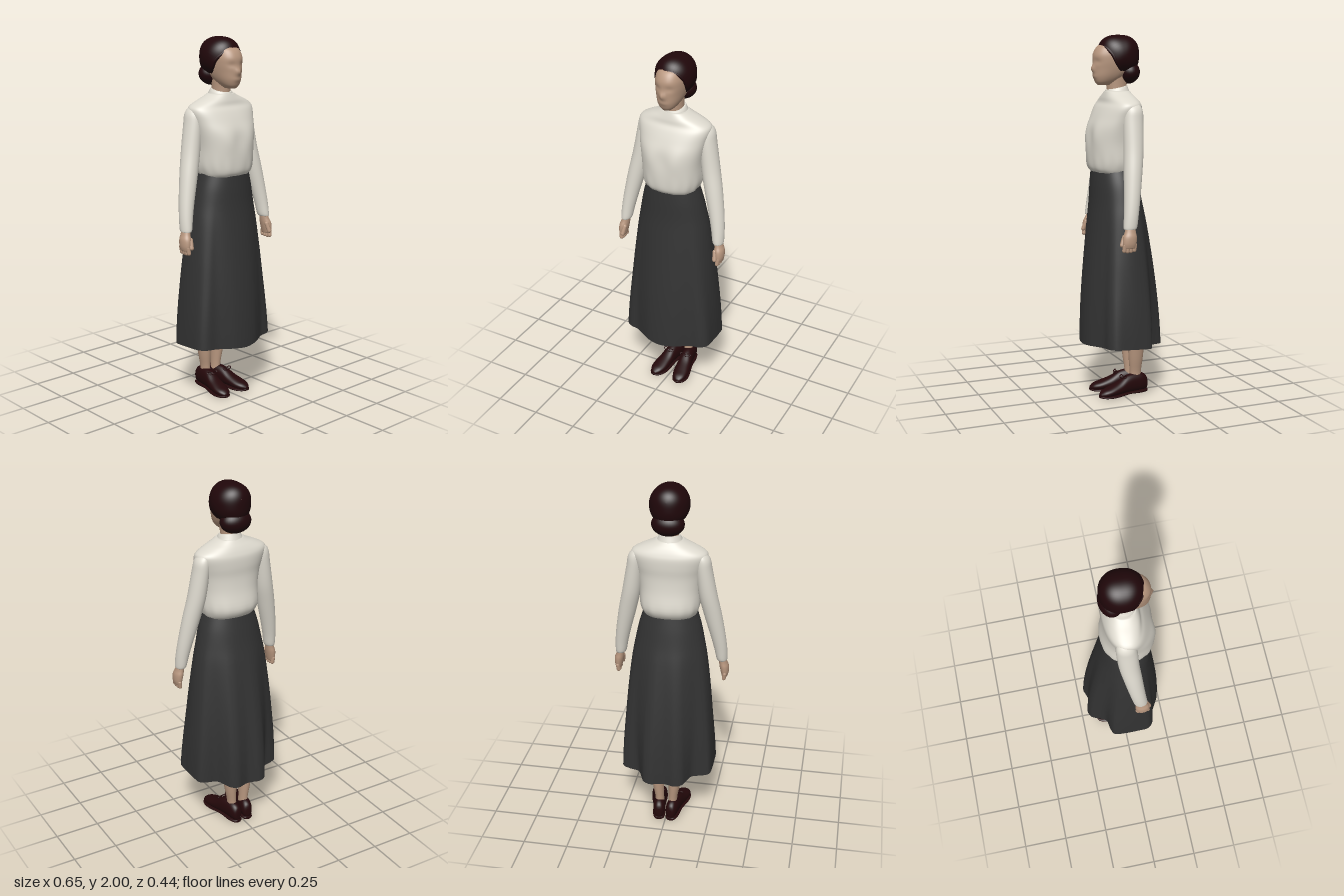
import * as THREE from 'three';

const mat = (name, color, side = THREE.FrontSide) => {
  const m = new THREE.MeshStandardMaterial({ color, side });
  m.name = name;
  return m;
};

// Smooth interpolation through a table of rows
function sampleRows(rows, steps) {
  const out = [], n = rows.length, at = i => rows[Math.max(0, Math.min(n - 1, i))];
  for (let s = 0; s <= (n - 1) * steps; s++) {
    const i = Math.min(Math.floor(s / steps), n - 2), t = s / steps - i;
    const [a, b, c, d] = [at(i - 1), at(i), at(i + 1), at(i + 2)];
    out.push(b.map((_, k) => 0.5 * (2 * b[k] + (c[k] - a[k]) * t
      + (2 * a[k] - 5 * b[k] + 4 * c[k] - d[k]) * t * t
      + (3 * b[k] - a[k] - 3 * c[k] + d[k]) * t * t * t)));
  }
  return out;
}

// Surface through closed rings listed bottom to top
function skin(rings, capped = true) {
  const n = rings[0].length, pos = [], idx = [];
  rings.forEach(r => r.forEach(p => pos.push(p.x, p.y, p.z)));
  for (let i = 0; i < rings.length - 1; i++) for (let j = 0; j < n; j++) {
    const a = i * n + j, b = i * n + (j + 1) % n;
    idx.push(a, b, a + n, b, b + n, a + n);
  }
  if (capped) [0, rings.length - 1].forEach(i => {
    const c = rings[i].reduce((s, p) => s.add(p), new THREE.Vector3()).divideScalar(n);
    const k = pos.length / 3;
    pos.push(c.x, c.y, c.z);
    for (let j = 0; j < n; j++) {
      const a = i * n + j, b = i * n + (j + 1) % n;
      if (i) idx.push(a, b, k); else idx.push(b, a, k);
    }
  });
  const g = new THREE.BufferGeometry();
  g.setAttribute('position', new THREE.Float32BufferAttribute(pos, 3));
  g.setIndex(idx);
  g.computeVertexNormals();
  return g;
}

// Rows are [y, centre x, half width, front z, back z]; power squares the section
function loft(rows, { sides = 32, steps = 4, power = 2, tweak } = {}) {
  const bend = v => Math.sign(v) * Math.pow(Math.abs(v), 2 / power);
  return skin(sampleRows(rows, steps).map(([y, cx, rx, zf, zb]) =>
    Array.from({ length: sides }, (_, j) => {
      const a = j / sides * Math.PI * 2;
      const p = new THREE.Vector3(cx + rx * bend(Math.sin(a)), y,
        (zf + zb) / 2 + (zf - zb) / 2 * bend(Math.cos(a)));
      if (tweak) tweak(p, a);
      return p;
    })));
}

export function createModel() {
  const model = new THREE.Group();
  const skinMat = mat('skin', 0xb8977f);
  const blouseMat = mat('cream cloth', 0xdedacf, THREE.DoubleSide);
  const skirtMat = mat('charcoal cloth', 0x333333, THREE.DoubleSide);
  const hairMat = mat('dark auburn hair', 0x20070a, THREE.DoubleSide);
  const shoeMat = mat('dark leather', 0x24080a);
  const add = (name, geo, m, parent = model) => {
    const mesh = new THREE.Mesh(geo, m);
    mesh.name = name;
    parent.add(mesh);
    return mesh;
  };
  const bump = (v, c, w) => Math.exp(-(((v - c) / w) ** 2));

  // Head with a soft nose, brow and eye hollows
  add('head', loft([
    [1.732, 0, .024, .12, .05], [1.75, 0, .044, .134, .02], [1.78, 0, .061, .143, -.03],
    [1.82, 0, .073, .145, -.08], [1.86, 0, .079, .147, -.09], [1.9, 0, .079, .143, -.09],
    [1.94, 0, .068, .118, -.08], [1.965, 0, .04, .07, -.045],
  ], {
    sides: 48, steps: 6, power: 2.3, tweak: p => {
      if (p.z < .06) return;
      p.z += .016 * bump(p.y, 1.82, .02) * bump(p.x, 0, .016);
      p.z += .004 * bump(p.y, 1.78, .012) * bump(p.x, 0, .025);
      p.z -= .006 * bump(p.y, 1.858, .016) * bump(Math.abs(p.x), .034, .02);
    },
  }), skinMat);
  add('neck', loft([[1.66, 0, .05, .066, -.05], [1.72, 0, .047, .068, -.045], [1.8, 0, .05, .075, -.05]]), skinMat);

  // Hair cap swept from the crown to a side-parted hairline, with a rolled edge
  const hairPoint = (a, f) => {
    const theta = f * (2.08 + .2 * Math.cos(a) - .08 * Math.sin(a) * Math.max(0, Math.cos(a)));
    const v = new THREE.Vector3(Math.sin(theta) * Math.sin(a), Math.cos(theta), Math.sin(theta) * Math.cos(a))
      .applyAxisAngle(new THREE.Vector3(1, 0, 0), -1.2);
    // Fuller over the forehead and nape than a plain ball
    const full = Math.hypot(v.y, v.z) / Math.pow(Math.abs(v.y) ** 2.6 + Math.abs(v.z) ** 2.6, 1 / 2.6);
    return new THREE.Vector3(v.x * .107, 1.892 + v.y * full * .108, .002 + v.z * full * .114);
  };
  const hairRing = (n, f) => Array.from({ length: n }, (_, i) => hairPoint(i / n * Math.PI * 2, f));
  const hairRings = Array.from({ length: 29 }, (_, k) => hairRing(48, 1 - k / 29));
  add('hair', skin([...hairRings, hairRing(48, .004)], false), hairMat);
  const centre = new THREE.Vector3(0, 1.885, .03);
  const rim = hairRing(24, 1).map(p => p.lerp(centre, .09));
  add('hairline', new THREE.TubeGeometry(new THREE.CatmullRomCurve3(rim, true), 72, .011, 10, true), hairMat);
  const bun = new THREE.SphereGeometry(1, 36, 24);
  bun.scale(.088, .064, .064).translate(0, 1.801, -.052);
  add('bun', bun, hairMat);

  // Blouse, full at the chest and gathered into the waist
  add('blouse', loft([
    [1.262, 0, .14, .146, -.074], [1.285, 0, .152, .165, -.1], [1.33, 0, .163, .172, -.115],
    [1.42, 0, .167, .172, -.1], [1.5, 0, .18, .162, -.095], [1.56, 0, .194, .138, -.1],
    [1.61, 0, .206, .113, -.1], [1.638, 0, .197, .094, -.092], [1.663, 0, .15, .088, -.08],
    [1.682, 0, .105, .082, -.068], [1.7, 0, .07, .075, -.056],
  ], {
    sides: 72, power: 2.3, tweak: (p, a) => {
      const g = 1 + .01 * Math.cos(a * 14) * bump(p.y, 1.3, .05);
      p.x *= g;
      p.z *= g;
      if (p.z > 0) p.z += .006 * bump(p.y, 1.46, .06) * (bump(Math.abs(p.x), .075, .04) - bump(p.x, 0, .04));
    },
  }), blouseMat);
  // Stand collar, dipping toward the throat
  add('collar', loft([
    [1.675, 0, .082, .08, -.062], [1.695, 0, .07, .077, -.055],
    [1.712, 0, .062, .075, -.049], [1.722, 0, .055, .071, -.046],
  ], { tweak: p => { p.y -= .2 * p.z; } }), blouseMat);

  // Arms and hands
  [['left', 1], ['right', -1]].forEach(([side, s]) => {
    const arm = new THREE.Group();
    arm.name = side + 'Arm';
    model.add(arm);
    const tube = rows => loft(rows.map(([y, x, z, rx, rz]) => [y, x * s, rx, z + rz, z - rz]));
    add('sleeve', tube([
      [.985, .288, .053, .026, .034], [1.0, .285, .05, .031, .038], [1.06, .278, .042, .036, .04],
      [1.15, .262, .03, .042, .044], [1.28, .234, .014, .049, .05], [1.4, .208, 0, .05, .054],
      [1.54, .187, -.008, .045, .055], [1.6, .18, -.012, .041, .05], [1.63, .17, -.012, .03, .038],
      [1.64, .164, -.012, .014, .02],
    ]), blouseMat, arm);
    add('palm', tube([
      [.885, .302, .062, .017, .033], [.91, .302, .061, .023, .038], [.945, .298, .058, .026, .038],
      [.97, .292, .054, .023, .031], [1.0, .286, .05, .02, .026],
    ]), skinMat, arm);
    // Four relaxed fingers and a thumb
    for (let i = 0; i < 4; i++) {
      const f = add('finger', new THREE.CapsuleGeometry(.0115, .04 - Math.abs(i - 1.4) * .007, 4, 10), skinMat, arm);
      f.position.set(s * .302, .888, .09 - i * .019);
      f.rotation.set(-.12, 0, -s * .12);
    }
    const thumb = add('thumb', new THREE.CapsuleGeometry(.012, .045, 4, 10), skinMat, arm);
    thumb.position.set(s * .285, .922, .092);
    thumb.rotation.set(-.35, 0, s * .15);
  });

  // Skirt: an oval waist blending into a wavy hem
  const half = [[.07, .21], [.12, .185], [.17, .158], [.225, .15], [.258, .12], [.262, .05], [.26, -.03],
    [.25, -.09], [.21, -.108], [.155, -.12], [.13, -.165], [.11, -.205], [.07, -.221], [.03, -.208]];
  const hemPoints = [[0, .22], ...half, [0, -.2], ...half.slice().reverse().map(([x, z]) => [-x, z])]
    .map(([x, z]) => new THREE.Vector3(x + .005, .02 * Math.abs(x) / .26 + .06 * z, z));
  const hem = new THREE.CatmullRomCurve3(hemPoints, true).getPoints(120).slice(0, 120);
  // Rows are [y, half width, front z, back z, hem blend]
  const skirtRows = [[.295, .26, .215, -.21, 1], [.6, .237, .195, -.18, .5], [.8, .222, .178, -.155, .28],
    [1.0, .205, .163, -.13, .1], [1.1, .191, .157, -.115, .03], [1.2, .172, .155, -.1, 0], [1.28, .147, .151, -.084, 0]];
  add('skirt', skin(sampleRows(skirtRows, 6).map(([y, rx, zf, zb, w]) => hem.map(h => {
    const a = Math.atan2(h.x / .26, h.z / .21);
    const p = new THREE.Vector3(rx * Math.sin(a), y, (zf + zb) / 2 + (zf - zb) / 2 * Math.cos(a));
    return p.lerp(new THREE.Vector3(h.x, y + h.y, h.z), w);
  })), false), skirtMat);
  // Shallow lining closing the skirt just above the hem
  add('skirtLining', skin([.02, .3, .6, .85, .96, 1].map(k => hem.map(h =>
    new THREE.Vector3(h.x * k, .295 + h.y * k + .03 * (1 - k ** 4), h.z * k))), false), skirtMat);

  // Legs, undergarment cuffs and laced shoes
  [['left', 1], ['right', -1]].forEach(([side, s]) => {
    const leg = new THREE.Group();
    leg.name = side + 'Leg';
    leg.position.x = .004;
    model.add(leg);
    add('shin', loft([
      [.06, s * .038, .028, -.05, -.12], [.12, s * .039, .025, -.052, -.118], [.2, s * .046, .032, -.043, -.125],
      [.3, s * .052, .039, -.035, -.132], [.36, s * .055, .042, -.031, -.132],
    ]), skinMat, leg);
    add('underlegCuff', loft([
      [.278, s * .052, .041, -.032, -.135], [.3, s * .053, .043, -.03, -.137], [.36, s * .056, .046, -.026, -.138],
    ]), blouseMat, leg);

    const shoe = new THREE.Group();
    shoe.name = side + 'Shoe';
    shoe.position.set(s * .042, 0, -.09);
    shoe.rotation.y = s * .16;
    leg.add(shoe);
    // Rows run from heel to toe: [z, half width, bottom, top]
    const lengthwise = (rows, power) => loft(rows.map(([z, rx, lo, hi]) => [z + .09, 0, rx, -lo, -hi]), { power })
      .rotateX(Math.PI / 2);
    add('shoeUpper', lengthwise([
      [-.157, .012, .025, .07], [-.148, .026, .01, .095], [-.12, .034, .008, .112], [-.07, .035, .008, .115],
      [-.02, .037, .008, .106], [.03, .042, .008, .078], [.085, .044, .008, .058], [.125, .033, .008, .045],
      [.148, .012, .01, .028],
    ], 2.2), shoeMat, shoe);
    add('sole', lengthwise([
      [-.158, .014, 0, .016], [-.145, .029, 0, .018], [-.1, .037, 0, .018], [-.03, .036, .004, .018],
      [.05, .046, 0, .015], [.095, .046, 0, .015], [.13, .034, .002, .015], [.15, .012, .006, .016],
    ], 3), shoeMat, shoe);
    // Bow loops on the instep
    [-1, 1].forEach(k => {
      const bow = add('bowLoop', new THREE.TorusGeometry(.013, .003, 6, 16), shoeMat, shoe);
      bow.position.set(k * .015, .103, .09);
      bow.rotation.set(-1.0, 0, k * .3);
      bow.scale.set(1.3, .7, 1);
    });
  });

  return model;
}
